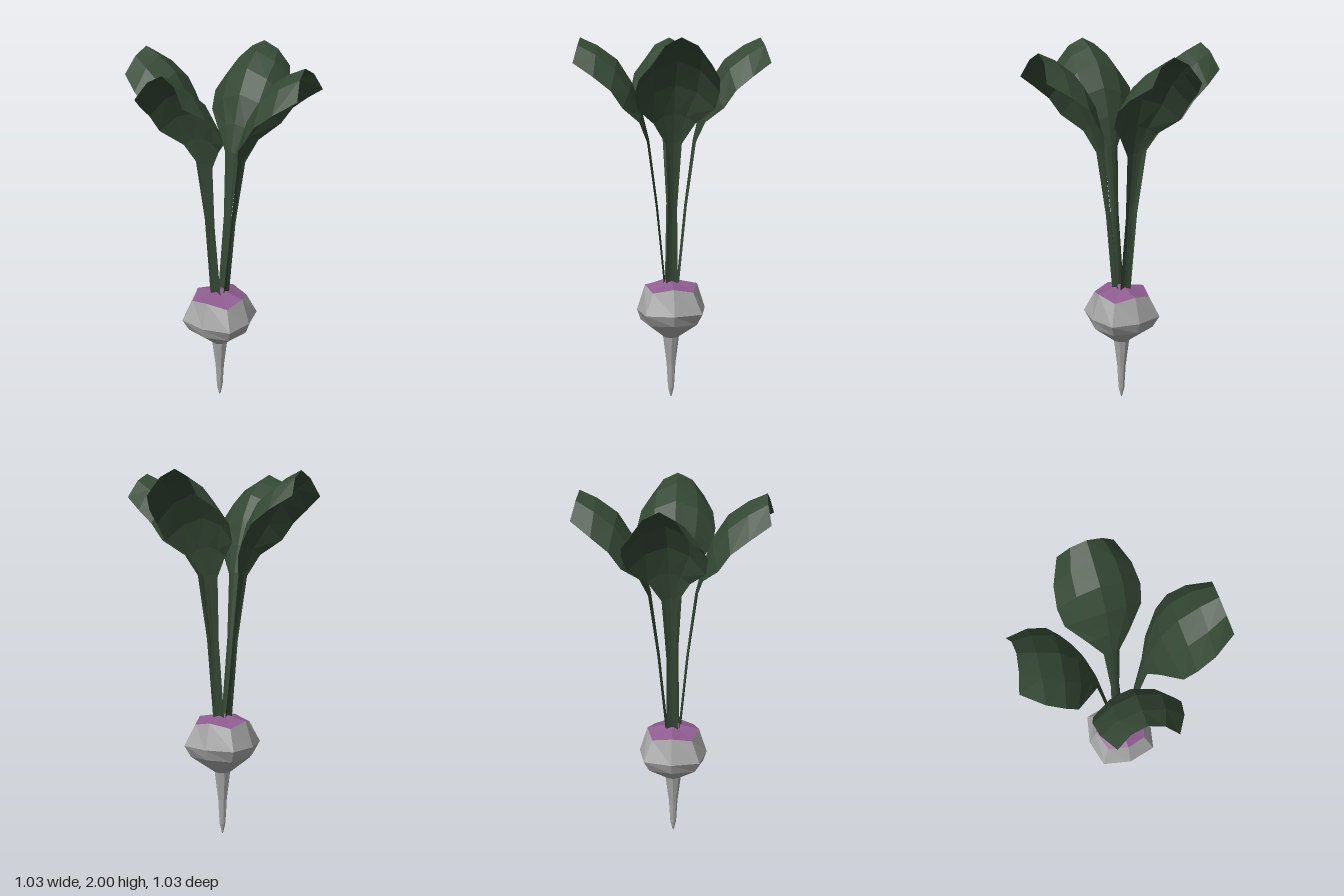
import * as THREE from 'three';

const make = (name, hex, side = THREE.FrontSide) => {
  const m = new THREE.MeshStandardMaterial({ color: hex, flatShading: true, side });
  m.name = name;
  return m;
};

// Geometry from rows of points; neighbouring rows are joined by quads
function loft(rows, closed) {
  const pos = [];
  for (let r = 0; r + 1 < rows.length; r++) {
    const a = rows[r], b = rows[r + 1], n = a.length;
    for (let k = 0; k < (closed ? n : n - 1); k++) {
      const j = (k + 1) % n;
      pos.push(...a[k], ...b[k], ...b[j], ...a[k], ...b[j], ...a[j]);
    }
  }
  const g = new THREE.BufferGeometry();
  g.setAttribute('position', new THREE.Float32BufferAttribute(pos, 3));
  g.computeVertexNormals();
  return g;
}

// Eight-sided ring whose axis points and diagonal points differ in radius and height
function ring([axisR, axisY, diagR = axisR, diagY = axisY]) {
  return Array.from({ length: 8 }, (_, k) => {
    const t = k * Math.PI / 4, r = k % 2 ? diagR : axisR;
    return [Math.sin(t) * r, k % 2 ? diagY : axisY, Math.cos(t) * r];
  });
}

// Leaf stations: midrib reach and height, half width, edge reach and height
const STATIONS = [
  [0.030, 0.66, 0.033, 0.040, 0.66],
  [0.072, 1.10, 0.024, 0.084, 1.10],
  [0.118, 1.46, 0.043, 0.130, 1.45],
  [0.155, 1.61, 0.110, 0.170, 1.56],
  [0.205, 1.76, 0.200, 0.255, 1.64],
  [0.285, 1.885, 0.215, 0.315, 1.73],
  [0.390, 1.96, 0.200, 0.405, 1.80],
  [0.480, 2.00, 0.145, 0.512, 1.87],
];

// Arched blade and channelled stalk, growing towards +z
function leafGeometry() {
  const rows = STATIONS.map(([mr, my, w, er, ey]) =>
    [-1, -0.55, 0, 0.55, 1].map((s) => {
      const f = Math.abs(s) ** 2;
      return [s * w, my + (ey - my) * f, mr + (er - mr) * f];
    }));
  return loft(rows, false);
}

export function createModel() {
  const group = new THREE.Group();
  const skin = make('pale grey skin', 0xa6a6a6);
  const crownMat = make('purple crown', 0x8f5c90);
  const green = make('dark green leaf', 0x344734, THREE.DoubleSide);

  const add = (name, geometry, material) => {
    const mesh = new THREE.Mesh(geometry, material);
    mesh.name = name;
    group.add(mesh);
    return mesh;
  };

  // Purple crown on top of the bulb
  const shoulder = [0.145, 0.66, 0.156, 0.635];
  add('crown', loft([[0, 0.69], shoulder].map(ring), true), crownMat);

  // Faceted bulb
  const neck = [0.045, 0.36];
  add('bulb', loft([shoulder, [0.19, 0.52, 0.218, 0.52], [0.17, 0.46, 0.18, 0.455], neck].map(ring), true), skin);

  // Tapering taproot
  add('taproot', loft([neck, [0.025, 0.2], [0.017, 0.06], [0.006, 0.012], [0, 0]].map(ring), true), skin);

  // Four leaves, two of them turned slightly off the axis
  const leaf = leafGeometry();
  const turns = { frontLeaf: -0.08, leftLeaf: Math.PI / 2, backLeaf: Math.PI, rightLeaf: -Math.PI / 2 - 0.08 };
  for (const [name, turn] of Object.entries(turns)) add(name, leaf, green).rotation.y = turn;

  return group;
}
